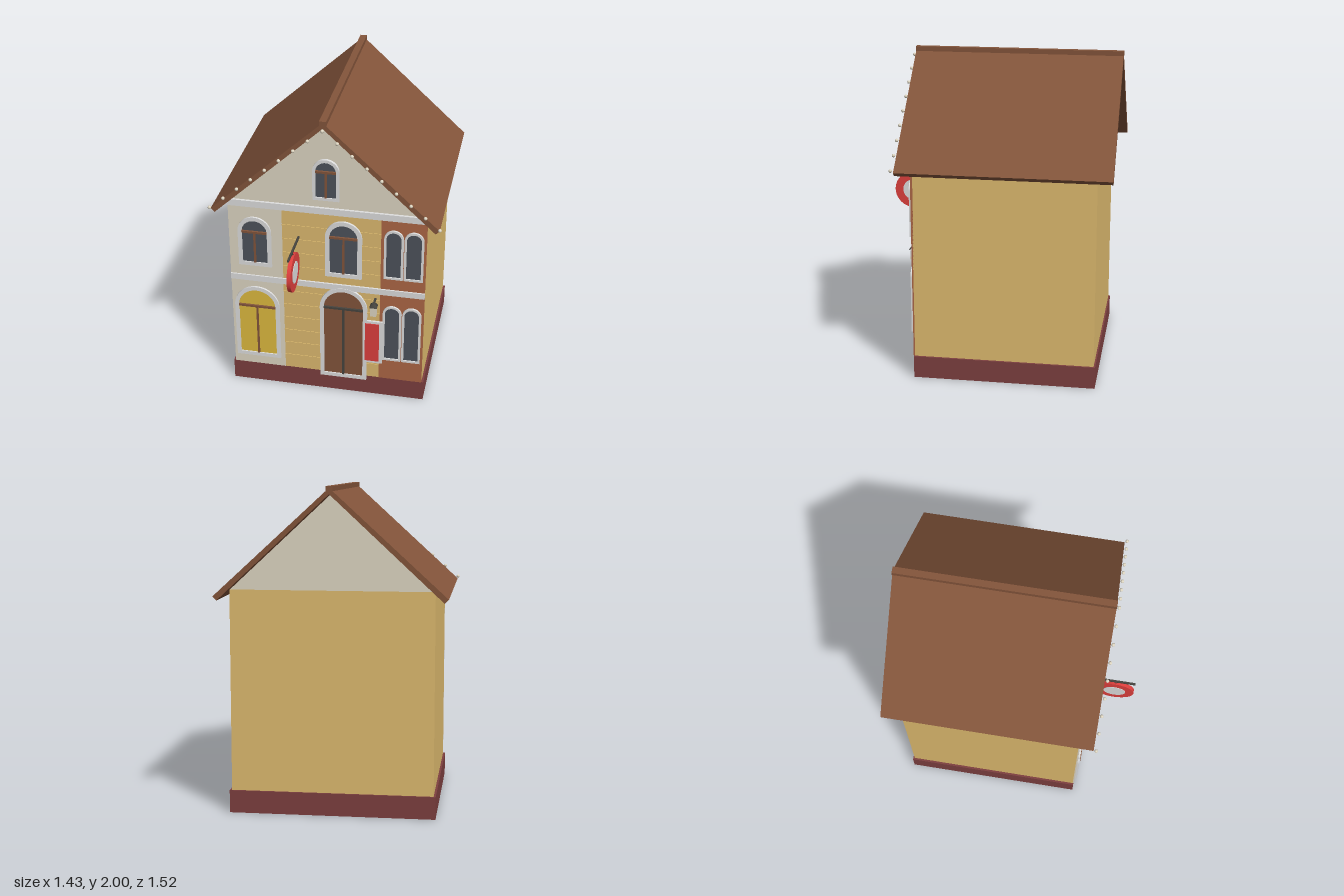
import * as THREE from 'three';

const material = (name, color) => {
  const m = new THREE.MeshStandardMaterial({ color });
  m.name = name;
  return m;
};
const M = {
  ochre: material('ochre plaster', 0xe0bc70),
  beige: material('beige plaster', 0xe0d8c4),
  maroon: material('maroon plinth', 0x7e4040),
  brown: material('brown wood', 0x84553b),
  brick: material('brick plaster', 0xae6846),
  white: material('white trim', 0xe0e0e0),
  glass: material('dark glass', 0x4d535c),
  red: material('red paint', 0xe0403e),
  yellow: material('yellow shutter', 0xe0bc40),
  metal: material('dark metal', 0x46443f),
};

export function createModel() {
  const root = new THREE.Group();
  root.name = 'townhouse';

  const add = (name, geometry, mat, parent = root) => {
    const mesh = new THREE.Mesh(geometry, mat);
    mesh.name = name;
    parent.add(mesh);
    return mesh;
  };
  // Box given by its limits on each axis
  const box = (name, mat, x0, x1, y0, y1, z0, z1, parent = root) => {
    const mesh = add(name, new THREE.BoxGeometry(x1 - x0, y1 - y0, z1 - z0), mat, parent);
    mesh.position.set((x0 + x1) / 2, (y0 + y1) / 2, (z0 + z1) / 2);
    return mesh;
  };
  const extrude = (name, shape, mat, z0, z1, parent = root) => {
    const g = new THREE.ExtrudeGeometry(shape, { depth: z1 - z0, bevelEnabled: false, curveSegments: 20 });
    g.translate(0, 0, z0);
    return add(name, g, mat, parent);
  };
  const polygon = (points) => new THREE.Shape(points.map(([x, y]) => new THREE.Vector2(x, y)));
  // Round-headed outline
  const arch = (cx, r, bottom, spring, T = THREE.Shape) => {
    const s = new T();
    s.moveTo(cx - r, bottom);
    s.lineTo(cx + r, bottom);
    s.lineTo(cx + r, spring);
    s.absarc(cx, spring, r, 0, Math.PI, false);
    s.closePath();
    return s;
  };

  // Plinth and walls
  box('plinth', M.maroon, -0.633, 0.633, 0, 0.14, -0.67, 0.47);
  box('walls', M.ochre, -0.62, 0.62, 0.14, 1.38, -0.66, 0.465);
  extrude('gable', polygon([[-0.62, 1.38], [0.62, 1.38], [0, 1.957]]), M.beige, -0.66, 0.468);

  // Three facade bays and their bands
  box('leftBay', M.beige, -0.62, -0.28, 0.14, 1.34, 0.46, 0.474);
  box('middleBay', M.ochre, -0.28, 0.34, 0.14, 1.34, 0.46, 0.472);
  box('rightBay', M.brick, 0.34, 0.62, 0.14, 1.34, 0.46, 0.474);
  box('floorBand', M.white, -0.62, 0.62, 0.797, 0.837, 0.46, 0.484);
  box('corniceBand', M.white, -0.62, 0.62, 1.337, 1.38, 0.46, 0.484);
  for (const y of [0.24, 0.34, 0.44, 0.54, 0.64, 0.74, 0.93, 1.03, 1.13, 1.23]) {
    box('plasterCourse', M.ochre, -0.28, 0.34, y - 0.004, y + 0.004, 0.47, 0.476);
  }

  // Arched openings: pane, surround and optional glazing bars
  const opening = (name, fill, cx, r, bottom, spring, border, bars) => {
    const g = new THREE.Group();
    g.name = name;
    root.add(g);
    extrude('pane', arch(cx, r + 0.002, bottom - 0.002, spring), fill, 0.462, 0.479, g);
    const frame = arch(cx, r + border, bottom - border, spring);
    frame.holes.push(arch(cx, r, bottom, spring, THREE.Path));
    extrude('surround', frame, M.white, 0.462, 0.487, g);
    if (bars) {
      box('transom', bars, cx - r, cx + r, spring - 0.007, spring + 0.007, 0.476, 0.492, g);
      box('mullion', bars, cx - 0.006, cx + 0.006, bottom, spring, 0.476, 0.49, g);
    }
  };
  opening('upperLeftWindow', M.glass, -0.455, 0.08, 0.94, 1.16, 0.026, M.brown);
  opening('yellowShutters', M.yellow, -0.455, 0.12, 0.235, 0.605, 0.026, M.brown);
  opening('upperMiddleWindow', M.glass, 0.108, 0.087, 0.923, 1.182, 0.028, M.brown);
  opening('frontDoor', M.brown, 0.108, 0.126, 0.142, 0.66, 0.026, M.metal);
  opening('atticWindow', M.glass, 0, 0.063, 1.455, 1.63, 0.019, M.brown);
  for (const x of [0.42, 0.545]) {
    opening('upperNarrowWindow', M.glass, x, 0.046, 0.935, 1.21, 0.014);
    opening('lowerNarrowWindow', M.glass, x, 0.046, 0.31, 0.655, 0.014);
  }

  // Notice board beside the door
  box('noticeFrame', M.white, 0.235, 0.36, 0.262, 0.587, 0.465, 0.486);
  box('noticePanel', M.red, 0.249, 0.34, 0.28, 0.57, 0.48, 0.491);

  // Roof slopes and ridge
  for (const s of [-1, 1]) {
    const pts = [[0, 1.953], [0.678, 1.323], [0.702, 1.347], [0, 1.99]].map(([x, y]) => [s * x, y]);
    extrude('roofSlope', polygon(pts), M.brown, -0.757, 0.557);
  }
  box('ridgeCap', M.brown, -0.021, 0.021, 1.97, 2, -0.759, 0.559);

  // String of small bulbs along the front verge
  const bulb = new THREE.SphereGeometry(0.011, 12, 8);
  for (let i = -8; i <= 8; i++) {
    const x = i * 0.088;
    add('vergeBulb', bulb, M.beige).position.set(x, 1.945 - Math.abs(x) * 0.83, 0.572);
  }

  // Hanging round sign on a bracket
  const sign = new THREE.Group();
  sign.name = 'hangingSign';
  sign.position.set(-0.175, 1, 0.637);
  root.add(sign);
  const disc = (name, r, depth, mat) => {
    add(name, new THREE.CylinderGeometry(r, r, depth, 40), mat, sign).rotation.z = Math.PI / 2;
  };
  disc('signRim', 0.124, 0.024, M.red);
  disc('signFace', 0.07, 0.03, M.white);
  box('signArm', M.metal, -0.181, -0.169, 1.148, 1.16, 0.465, 0.76);
  box('signHanger', M.metal, -0.178, -0.172, 1.11, 1.15, 0.634, 0.64);

  // Wall lantern
  const lamp = new THREE.Group();
  lamp.name = 'wallLantern';
  root.add(lamp);
  box('lanternArm', M.metal, 0.304, 0.316, 0.749, 0.761, 0.465, 0.54, lamp);
  box('lanternGlass', M.beige, 0.291, 0.329, 0.675, 0.742, 0.516, 0.554, lamp);
  const cap = add('lanternCap', new THREE.CylinderGeometry(0.014, 0.034, 0.024, 4), M.metal, lamp);
  cap.rotation.y = Math.PI / 4;
  cap.position.set(0.31, 0.752, 0.535);

  return root;
}
